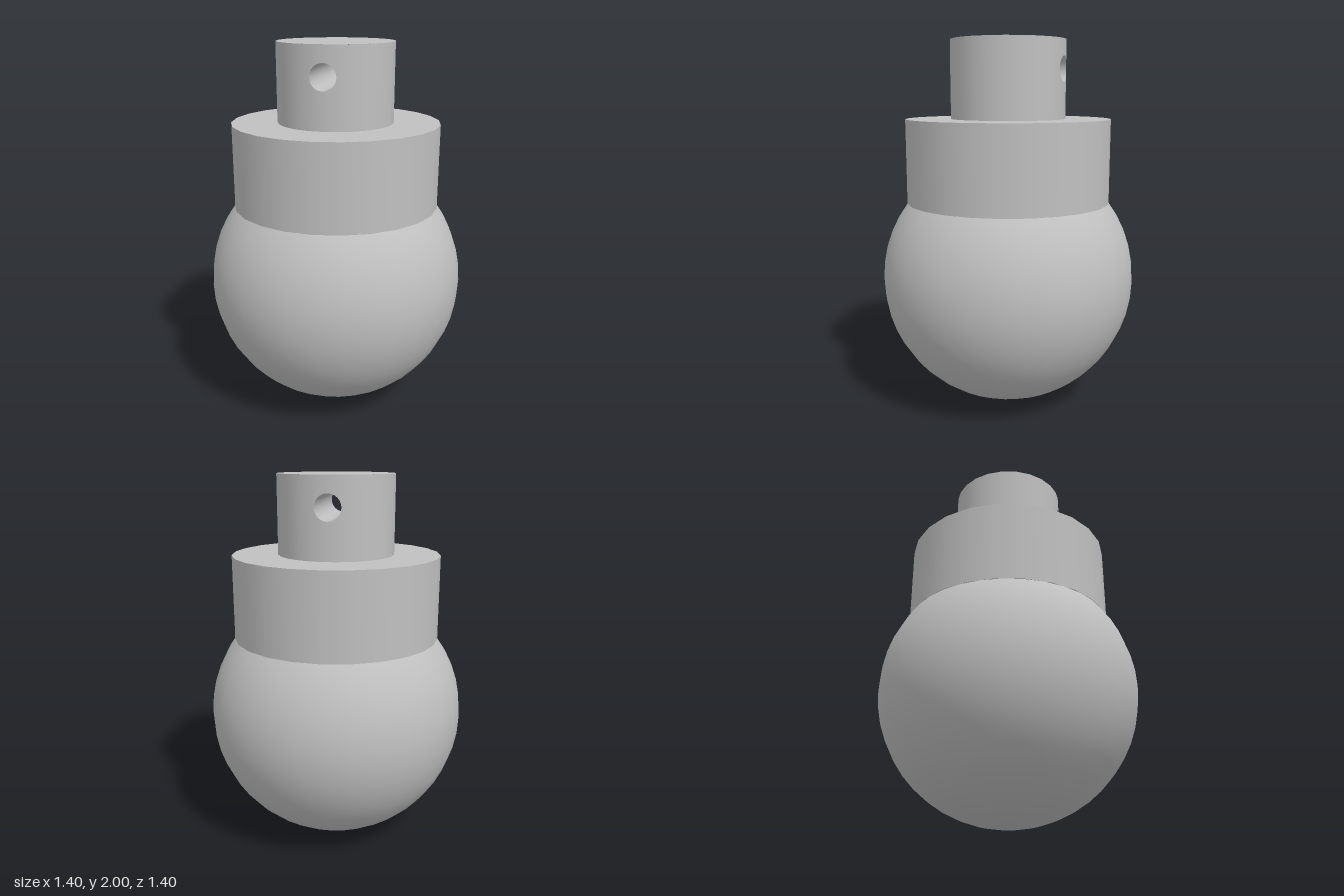
import * as THREE from 'three';

const BALL_R = 0.7, COLLAR_R = 0.56, STEM_R = 0.313;
const COLLAR_Y = 1.125, STEM_Y = 1.58, TOP_Y = 2;
const HOLE_R = 0.068, HOLE_Y = 1.845, PATCH_W = 0.15;

// Stem wall section pierced by half of the cross hole; local +z is the hole axis
function piercedWall() {
  const n = 24, pos = [], nor = [], idx = [];
  const depth = (s) => Math.sqrt(STEM_R * STEM_R - s * s);
  for (let row = 0; row < 6; row++) {
    for (let j = 0; j <= n; j++) {
      const a = (j / n) * Math.PI * 2, c = Math.cos(a), s = Math.sin(a);
      const m = Math.max(Math.abs(c), Math.abs(s));
      const edgeX = (c / m) * PATCH_W;
      const edgeY = (s / m) * (s > 0 ? TOP_Y - HOLE_Y : HOLE_Y - STEM_Y);
      const t = Math.min(row / 3, 1);
      const x = THREE.MathUtils.lerp(edgeX, c * HOLE_R, t);
      const y = THREE.MathUtils.lerp(edgeY, s * HOLE_R, t);
      // rows 0-3 lie on the wall, rows 4-5 line the bore to the stem centre
      pos.push(x, HOLE_Y + y, row === 5 ? 0 : depth(x));
      if (row < 4) nor.push(x / STEM_R, 0, depth(x) / STEM_R);
      else nor.push(-c, -s, 0);
    }
  }
  for (let row = 0; row < 5; row++) {
    if (row === 3) continue;
    for (let j = 0; j < n; j++) {
      const a = row * (n + 1) + j, b = a + n + 1;
      idx.push(a, a + 1, b, a + 1, b + 1, b);
    }
  }
  const g = new THREE.BufferGeometry();
  g.setAttribute('position', new THREE.Float32BufferAttribute(pos, 3));
  g.setAttribute('normal', new THREE.Float32BufferAttribute(nor, 3));
  g.setIndex(idx);
  return g;
}

export function createModel() {
  const model = new THREE.Group();
  const grey = new THREE.MeshStandardMaterial({ color: 0xc0c0c0 });
  grey.name = 'plain grey';
  const add = (parent, name, geometry, y = 0) => {
    const mesh = new THREE.Mesh(geometry, grey);
    mesh.name = name;
    mesh.position.y = y;
    parent.add(mesh);
    return mesh;
  };

  // Ball and collar
  add(model, 'ball', new THREE.SphereGeometry(BALL_R, 32, 24), BALL_R);
  add(model, 'collar', new THREE.CylinderGeometry(COLLAR_R, COLLAR_R, STEM_Y - COLLAR_Y, 24),
    (STEM_Y + COLLAR_Y) / 2);

  // Stem with a diagonal cross hole: two pierced and two plain wall sections
  const stem = new THREE.Group();
  stem.name = 'stem';
  stem.rotation.y = THREE.MathUtils.degToRad(120);
  model.add(stem);
  const half = Math.asin(PATCH_W / STEM_R), wall = piercedWall(), h = TOP_Y - STEM_Y;
  for (const turn of [0, Math.PI]) {
    add(stem, 'piercedWall', wall).rotation.y = turn;
    add(stem, 'plainWall', new THREE.CylinderGeometry(STEM_R, STEM_R, h, 8, 1, true,
      turn + half, Math.PI - 2 * half), STEM_Y + h / 2);
  }
  add(stem, 'stemTop', new THREE.CircleGeometry(STEM_R, 24), TOP_Y).rotation.x = -Math.PI / 2;
  return model;
}
